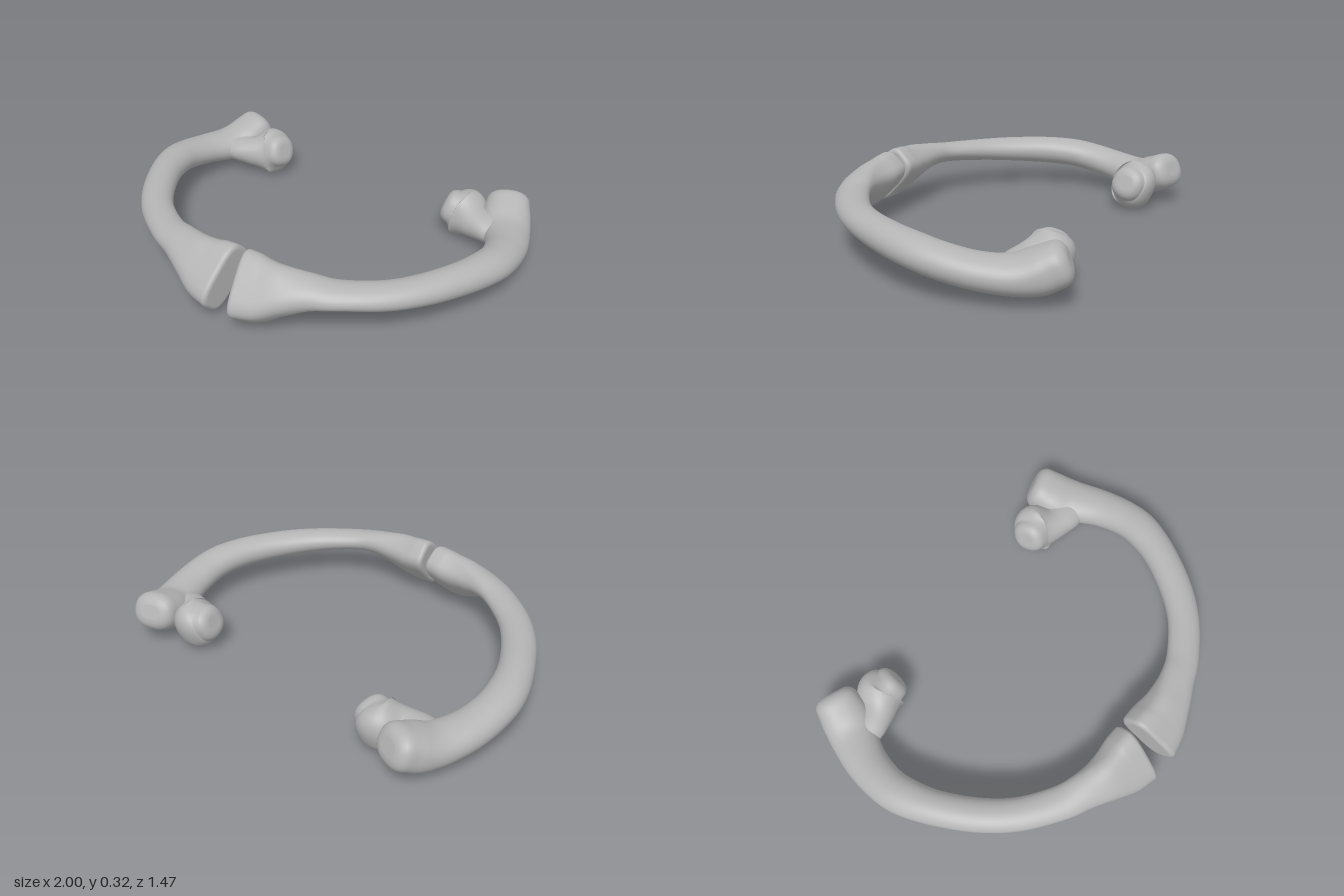
import * as THREE from 'three';

const boneGrey = new THREE.MeshStandardMaterial({ color: 0xb4b4b4 });
boneGrey.name = 'boneGrey';
const UP = new THREE.Vector3(0, 1, 0);
const SIDES = 40;

// Skins oval sections along a smooth path; each section is
// [x, y, z, half width, half height, tilt in degrees, squareness (2 = ellipse)].
// capStart and capEnd are the rounding radii of the closed ends.
function loft(sections, steps, capStart, capEnd, mirror) {
  const curve = (pick) => new THREE.CatmullRomCurve3(
    sections.map((s) => new THREE.Vector3(...pick(s))), false, 'catmullrom', 0.5);
  const path = curve((s) => [s[0], s[1], s[2]]);
  const size = curve((s) => [s[3], s[4], s[5]]);
  const shape = curve((s) => [s[6], 0, 0]);

  // Rings: [position on path, inset, offset along path, scale]
  const rings = [];
  const cap = (u, r, dir) => {
    const list = [[u, r, dir * r, 0], [u, r, dir * r, 0.5], [u, r, dir * r, 0.9]];
    for (let k = 0; k <= 5; k++) {
      const a = (k / 5) * Math.PI / 2;
      list.push([u, r * (1 - Math.sin(a)), dir * r * Math.cos(a), 1]);
    }
    return list;
  };
  rings.push(...cap(0, capStart, -1));
  for (let i = 1; i < steps; i++) rings.push([i / steps, 0, 0, 1]);
  rings.push(...cap(1, capEnd, 1).reverse());

  const positions = [], index = [];
  for (const [u, inset, offset, scale] of rings) {
    const t = path.getTangent(u);
    const n = new THREE.Vector3().crossVectors(t, UP).normalize();
    const v = new THREE.Vector3().crossVectors(n, t);
    const c = path.getPoint(u).addScaledVector(t, offset);
    const s = size.getPoint(u);
    const power = 2 / shape.getPoint(u).x;
    const tilt = THREE.MathUtils.degToRad(s.z);
    for (let j = 0; j < SIDES; j++) {
      const a = (j / SIDES) * Math.PI * 2;
      const soft = (w) => Math.sign(w) * Math.abs(w) ** power;
      const p = soft(Math.cos(a)) * (s.x - inset) * scale;
      const q = soft(Math.sin(a)) * (s.y - inset) * scale;
      const point = c.clone()
        .addScaledVector(n, p * Math.cos(tilt) + q * Math.sin(tilt))
        .addScaledVector(v, q * Math.cos(tilt) - p * Math.sin(tilt));
      positions.push(point.x * mirror, point.y, point.z);
    }
  }
  for (let i = 0; i < rings.length - 1; i++) {
    for (let j = 0; j < SIDES; j++) {
      const a = i * SIDES + j, b = i * SIDES + (j + 1) % SIDES;
      const c = a + SIDES, d = b + SIDES;
      if (mirror > 0) index.push(a, c, b, b, c, d);
      else index.push(a, b, c, b, d, c);
    }
  }
  const geometry = new THREE.BufferGeometry();
  geometry.setAttribute('position', new THREE.Float32BufferAttribute(positions, 3));
  geometry.setIndex(index);
  geometry.computeVertexNormals();
  return geometry;
}

// Curved shaft from the flared front plate round to the large rear knob
const SHAFT = [
  [0.055, 0.18, 0.597, 0.158, 0.088, 45, 3.4],
  [0.14, 0.183, 0.585, 0.145, 0.088, 45, 3.2],
  [0.24, 0.203, 0.565, 0.112, 0.08, 42, 2.7],
  [0.35, 0.22, 0.53, 0.088, 0.062, 25, 2.2],
  [0.465, 0.218, 0.48, 0.08, 0.052, 10, 2],
  [0.625, 0.207, 0.365, 0.078, 0.057, 5, 2],
  [0.745, 0.2, 0.225, 0.08, 0.064, 0, 2],
  [0.845, 0.192, 0.05, 0.082, 0.071, 0, 2],
  [0.897, 0.18, -0.1, 0.09, 0.073, 0, 2],
  [0.907, 0.16, -0.22, 0.093, 0.074, 0, 2],
  [0.885, 0.135, -0.36, 0.1, 0.075, 0, 2],
  [0.835, 0.122, -0.49, 0.112, 0.08, 0, 2.1],
  [0.79, 0.138, -0.585, 0.118, 0.094, 0, 2.3],
  [0.765, 0.168, -0.655, 0.108, 0.092, 0, 2.4],
];

// Small inner knob branching off beside the large one
const KNOB = [
  [0.83, 0.12, -0.48, 0.08, 0.06, 0, 2],
  [0.75, 0.12, -0.49, 0.098, 0.068, 5, 2],
  [0.665, 0.118, -0.505, 0.092, 0.082, 15, 2.1],
  [0.585, 0.125, -0.545, 0.108, 0.122, 20, 2.3],
  [0.525, 0.145, -0.535, 0.085, 0.085, 20, 2.3],
];

export function createModel() {
  const model = new THREE.Group();
  model.name = 'pairedBones';
  for (const [side, mirror] of [['left', 1], ['right', -1]]) {
    const half = new THREE.Group();
    half.name = side + 'Bone';
    const shaft = new THREE.Mesh(loft(SHAFT, 90, 0.02, 0.055, mirror), boneGrey);
    shaft.name = side + 'Shaft';
    const knob = new THREE.Mesh(loft(KNOB, 32, 0.02, 0.045, mirror), boneGrey);
    knob.name = side + 'InnerKnob';
    half.add(shaft, knob);
    model.add(half);
  }
  return model;
}
